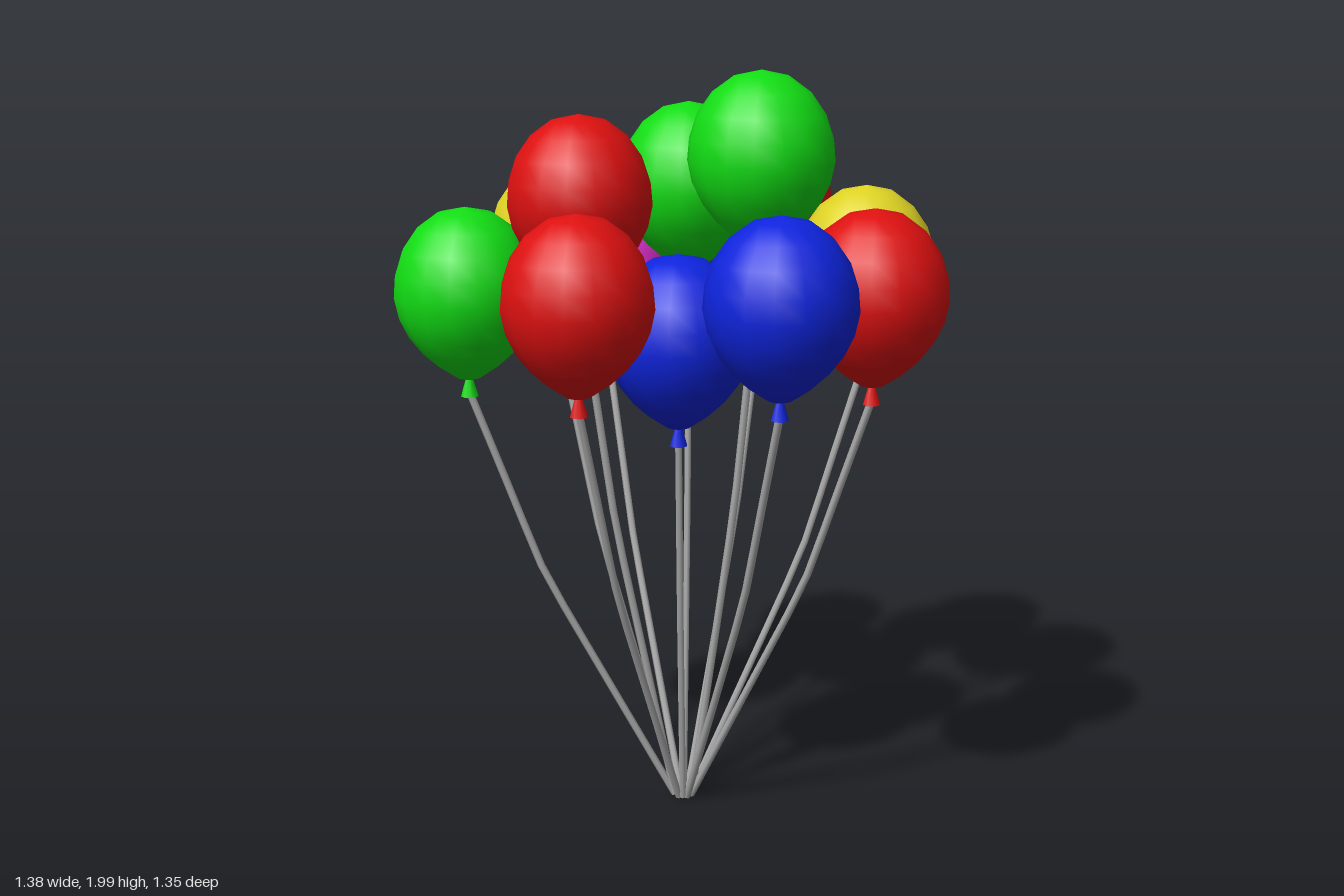
import * as THREE from 'three';

const mat = (name, color) => {
  const m = new THREE.MeshStandardMaterial({ color });
  m.name = name;
  return m;
};

export function createModel() {
  const mats = {
    red: mat('red', 0xdd1010),
    green: mat('green', 0x12dd14),
    blue: mat('blue', 0x0e24dd),
    yellow: mat('yellow', 0xddd224),
    magenta: mat('magenta', 0xdd30cc),
  };
  const stringMat = mat('stringGrey', 0xaaaaaa);
  stringMat.side = THREE.DoubleSide;

  // Balloon skin profile, measured from the knot bottom upwards
  const profile = [
    [0.012, 0.045], [0.03, 0.05], [0.078, 0.082], [0.118, 0.118], [0.152, 0.162],
    [0.176, 0.212], [0.188, 0.268], [0.183, 0.325], [0.163, 0.386],
    [0.125, 0.44], [0.07, 0.48], [0, 0.495],
  ].map(([r, y]) => new THREE.Vector2(r, y));
  const skinGeo = new THREE.LatheGeometry(profile, 16);

  // Tied-off end: a small cone flaring downwards
  const knotGeo = new THREE.CylinderGeometry(0.008, 0.023, 0.052, 8);
  knotGeo.translate(0, 0.026, 0);

  // colour, x, z, height of the balloon top
  const balloons = [
    ['magenta', -0.5, -0.41, 1.595],
    ['red', -0.04, -0.49, 1.815],
    ['yellow', 0.305, -0.415, 1.68],
    ['green', -0.135, -0.235, 1.895],
    ['yellow', -0.45, -0.07, 1.73],
    ['green', 0.172, -0.06, 2.0],
    ['red', 0.5, -0.042, 1.678],
    ['red', -0.24, 0.147, 1.888],
    ['blue', 0.048, 0.145, 1.555],
    ['green', -0.49, 0.3, 1.655],
    ['blue', 0.405, 0.28, 1.695],
    ['red', -0.038, 0.48, 1.693],
  ];

  // Strings bow outwards: [height fraction, sideways fraction]
  const bow = [[0, 0], [0.56, 0.645], [0.82, 0.855], [1, 1]];
  const gather = new THREE.Vector3(-0.033, 0.014, -0.02);

  const root = new THREE.Group();
  root.name = 'balloonBunch';
  balloons.forEach(([color, x, z, top]) => {
    const knotY = top - 0.495;
    const balloon = new THREE.Group();
    balloon.name = color + 'Balloon';

    const skin = new THREE.Mesh(skinGeo, mats[color]);
    skin.name = 'skin';
    const knot = new THREE.Mesh(knotGeo, mats[color]);
    knot.name = 'knot';
    skin.position.set(x, knotY, z);
    knot.position.copy(skin.position);

    // String from the shared gathering point up to the knot
    const out = new THREE.Vector3(x - gather.x, 0, z - gather.z).normalize();
    const start = gather.clone().addScaledVector(out, 0.024);
    const points = bow.map(([h, s]) => new THREE.Vector3(
      THREE.MathUtils.lerp(start.x, x, s),
      THREE.MathUtils.lerp(start.y, knotY + 0.01, h),
      THREE.MathUtils.lerp(start.z, z, s),
    ));
    const path = new THREE.CatmullRomCurve3(points, false, 'catmullrom', 0.1);
    const string = new THREE.Mesh(new THREE.TubeGeometry(path, 10, 0.01, 6), stringMat);
    string.name = 'string';

    balloon.add(skin, knot, string);
    root.add(balloon);
  });
  return root;
}
